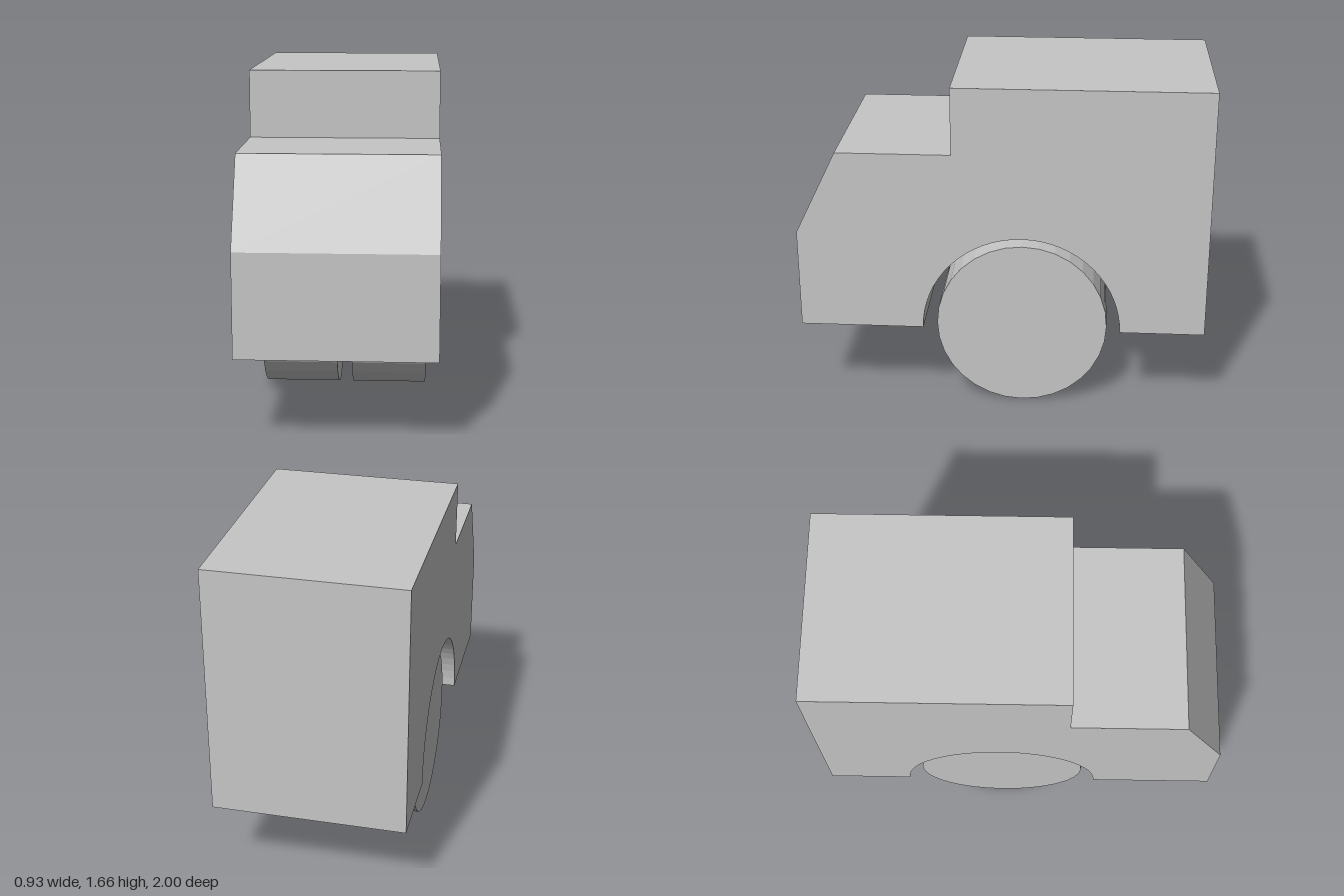
import * as THREE from 'three';

const AXLE_Z = -0.097, AXLE_Y = 0.424;

export function createModel() {
  const group = new THREE.Group();
  const grey = new THREE.MeshStandardMaterial({ color: 0xc6c6c6 });
  grey.name = 'plain grey';

  const add = (name, geometry, x, y, z) => {
    const mesh = new THREE.Mesh(geometry, grey);
    mesh.name = name;
    mesh.position.set(x, y, z);
    group.add(mesh);
  };

  // Faceted cylinder lying along x
  const drum = (radius, width) => {
    const g = new THREE.CylinderGeometry(radius, radius, width, 32).rotateZ(Math.PI / 2).toNonIndexed();
    g.computeVertexNormals();
    return g;
  };

  // Body: side profile (z, y) with a wheel arch, extruded across the width
  const side = new THREE.Shape();
  side.moveTo(1, AXLE_Y);
  side.lineTo(1, 0.92);
  side.lineTo(0.795, 1.335);
  side.lineTo(0.24, 1.335);
  side.lineTo(0.24, 1.665);
  side.lineTo(-1, 1.665);
  side.lineTo(-1, AXLE_Y);
  side.lineTo(AXLE_Z - 0.487, AXLE_Y);
  side.absarc(AXLE_Z, AXLE_Y, 0.487, Math.PI, 0, true);
  const body = new THREE.ExtrudeGeometry(side, { depth: 0.934, bevelEnabled: false, curveSegments: 16 });
  body.translate(0, 0, -0.467).rotateY(-Math.PI / 2);
  add('body', body, 0, 0, 0);

  // Pair of wide wheels joined by a narrow hub
  for (const s of [1, -1]) {
    add(s > 0 ? 'leftWheel' : 'rightWheel', drum(0.423, 0.374), s * 0.224, AXLE_Y, AXLE_Z);
  }
  add('hub', drum(0.294, 0.076), 0, AXLE_Y, AXLE_Z);

  // Struts hanging the hub from the arch
  for (const s of [1, -1]) {
    add(s > 0 ? 'frontStrut' : 'rearStrut', new THREE.BoxGeometry(0.06, 0.28, 0.05), 0, 0.8, AXLE_Z + s * 0.139);
  }
  return group;
}
